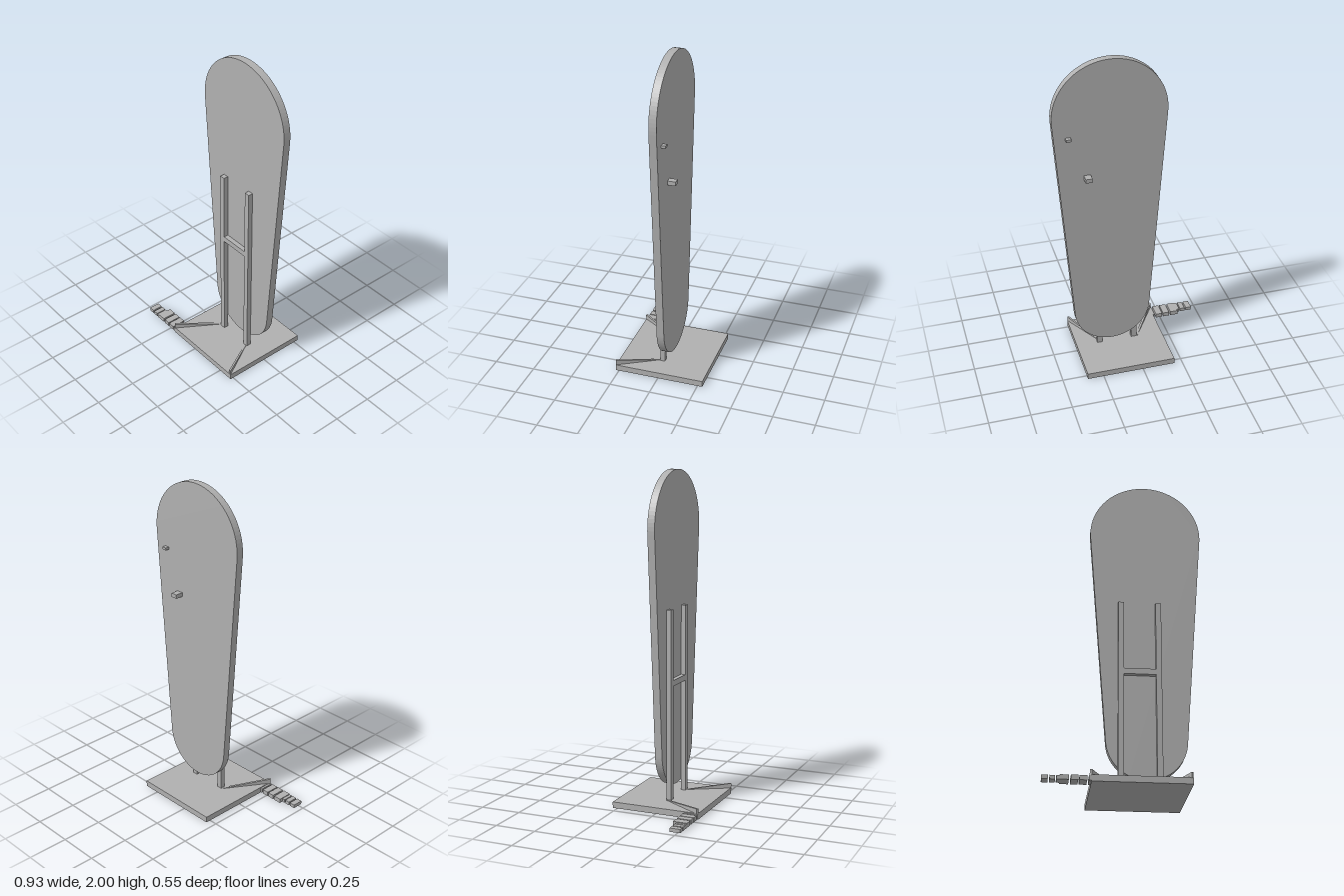
import * as THREE from 'three';

export function createModel() {
  const model = new THREE.Group();
  model.name = 'boardOnStand';
  const grey = new THREE.MeshStandardMaterial({ color: 0xb0b0b0 });
  grey.name = 'grey';

  const add = (name, geometry) => {
    const mesh = new THREE.Mesh(geometry, grey);
    mesh.name = name;
    model.add(mesh);
    return mesh;
  };
  // box given by its lower and upper limits on each axis
  const box = (name, x0, x1, y0, y1, z0, z1) =>
    add(name, new THREE.BoxGeometry(x1 - x0, y1 - y0, z1 - z0))
      .position.set((x0 + x1) / 2, (y0 + y1) / 2, (z0 + z1) / 2);

  // tapered board: two arcs joined by their common tangents
  const cx = 0.13, topR = 0.336, lowR = 0.235, topY = 1.664, lowY = 0.335;
  const tilt = Math.asin((topR - lowR) / (topY - lowY));
  const outline = new THREE.Shape();
  outline.absarc(cx, topY, topR, -tilt, Math.PI + tilt, false);
  outline.absarc(cx, lowY, lowR, Math.PI + tilt, 2 * Math.PI - tilt, false);
  outline.closePath();
  add('board', new THREE.ExtrudeGeometry(outline, {
    depth: 0.045, bevelEnabled: false, curveSegments: 24,
  })).position.z = -0.045;

  // pegs on the back of the board
  box('largePeg', 0.25, 0.29, 1.27, 1.295, -0.093, -0.045);
  box('smallPeg', 0.361, 0.391, 1.537, 1.552, -0.07, -0.045);

  // base and ladder-like support
  box('base', -0.2, 0.35, 0, 0.037, -0.28, 0.27);
  box('rightPost', -0.036, -0.002, 0.037, 1.19, 0, 0.029);
  box('leftPost', 0.185, 0.218, 0.037, 1.19, 0, 0.029);
  box('crossbar', -0.002, 0.185, 0.73, 0.765, 0, 0.029);

  // wedge struts rising from the posts to the front corners
  const strut = (name, ax, az, bx, bz, width) => {
    const length = Math.hypot(bx - ax, bz - az);
    const side = new THREE.Shape([
      new THREE.Vector2(0, 0), new THREE.Vector2(length, 0),
      new THREE.Vector2(length, 0.033), new THREE.Vector2(0, 0.004),
    ]);
    const geometry = new THREE.ExtrudeGeometry(side, { depth: width, bevelEnabled: false });
    geometry.translate(0, 0, -width / 2);
    const mesh = add(name, geometry);
    mesh.position.set(ax, 0.034, az);
    mesh.rotation.y = -Math.atan2(bz - az, bx - ax);
  };
  strut('rightStrut', -0.037, 0.004, -0.204, 0.268, 0.013);
  strut('leftStrut', 0.204, 0.028, 0.344, 0.271, 0.011);

  // row of small blocks beside the base: x from, x to, back z, top y
  [
    [-0.467, -0.432, 0.205, 0.027],
    [-0.423, -0.393, 0.205, 0.027],
    [-0.387, -0.369, 0.205, 0.027],
    [-0.369, -0.32, 0.183, 0.032],
    [-0.31, -0.27, 0.183, 0.032],
    [-0.263, -0.222, 0.183, 0.032],
    [-0.213, -0.2, 0.183, 0.032],
  ].forEach(([x0, x1, z0, y1], i) => box(`rowBlock${i + 1}`, x0, x1, 0.005, y1, z0, 0.27));

  return model;
}
